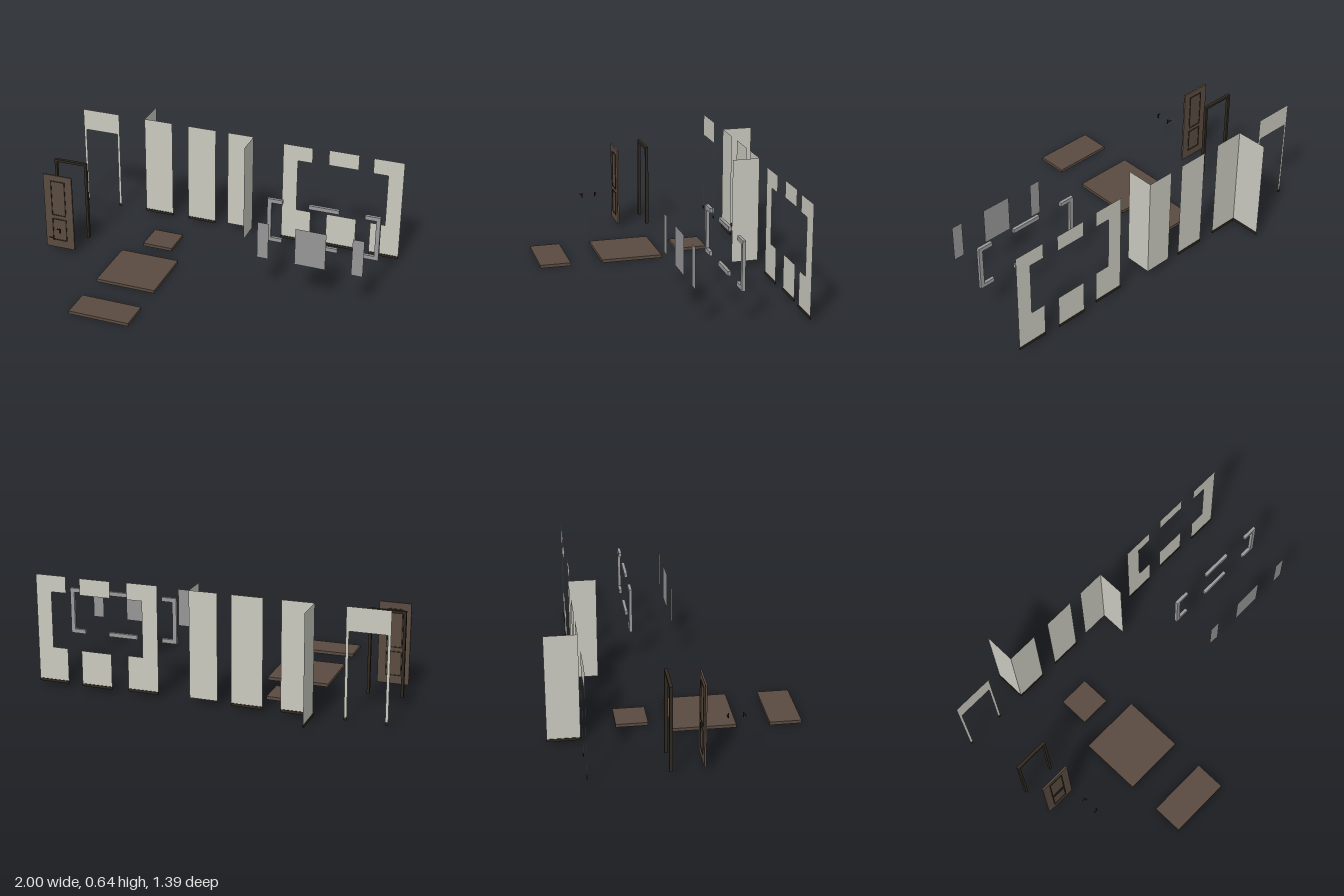
import * as THREE from 'three';

const make = (name, color, side = THREE.FrontSide) => {
  const m = new THREE.MeshStandardMaterial({ color, side });
  m.name = name;
  return m;
};

export function createModel() {
  const model = new THREE.Group();
  model.name = 'buildingKit';
  const wallPaint = make('wall plaster', 0xcacac0, THREE.DoubleSide);
  const wood = make('brown wood', 0x5a4b40);
  const trim = make('dark trim', 0x2f281f);
  const frameGrey = make('window frame grey', 0x9a9a9c);
  const glass = make('glass grey', 0x969698, THREE.DoubleSide);
  const metal = make('handle metal', 0x262321);

  const group = (name, parent = model) => {
    const g = new THREE.Group();
    g.name = name;
    parent.add(g);
    return g;
  };
  // Box given by its lower and upper limits on each axis
  const box = (parent, name, mat, x0, x1, y0, y1, z0, z1) => {
    const m = new THREE.Mesh(new THREE.BoxGeometry(x1 - x0, y1 - y0, z1 - z0), mat);
    m.name = name;
    m.position.set((x0 + x1) / 2, (y0 + y1) / 2, (z0 + z1) / 2);
    parent.add(m);
  };
  // Flat upright sheet facing z, outlined by [x, y] points
  const sheet = (parent, name, mat, z, points) => {
    const shape = new THREE.Shape(points.map(([x, y]) => new THREE.Vector2(x, y)));
    const m = new THREE.Mesh(new THREE.ShapeGeometry(shape), mat);
    m.name = name;
    m.position.z = z;
    parent.add(m);
  };
  const rect = (x0, x1, y0, y1) => [[x0, y0], [x1, y0], [x1, y1], [x0, y1]];
  // Upright sheet facing x
  const sideSheet = (parent, name, x, z0, z1) => {
    const m = new THREE.Mesh(new THREE.PlaneGeometry(z1 - z0, TOP - LOW), wallPaint);
    m.name = name;
    m.rotation.y = Math.PI / 2;
    m.position.set(x, (TOP + LOW) / 2, (z0 + z1) / 2);
    parent.add(m);
  };

  const TOP = 0.64, LOW = 0.036, BASE = 0.021, BACK = -0.514;
  const skirting = (parent, x0, x1, z) =>
    box(parent, 'skirting', trim, x0, x1, BASE, LOW, z - 0.003, z + 0.003);

  // Floor slabs
  [[-0.455, -0.275, -0.313, -0.135], [-0.541, -0.187, -0.018, 0.336], [-0.541, -0.187, 0.52, 0.697]]
    .forEach(([x0, x1, z0, z1]) => box(model, 'floorSlab', wood, x0, x1, 0, 0.018, z0, z1));

  // Wall with doorway
  const doorWall = group('doorwayWall');
  sheet(doorWall, 'wall', wallPaint, BACK, [
    [-1, LOW], [-0.984, LOW], [-0.984, 0.508], [-0.78, 0.508],
    [-0.78, LOW], [-0.764, LOW], [-0.764, TOP], [-1, TOP]]);
  skirting(doorWall, -1, -0.984, BACK);
  skirting(doorWall, -0.78, -0.764, BACK);

  // Inner corner wall
  const inner = group('innerCornerWall');
  sheet(inner, 'wall', wallPaint, BACK, rect(-0.597, -0.419, LOW, TOP));
  sideSheet(inner, 'sideWall', -0.597, -0.694, BACK);
  skirting(inner, -0.597, -0.419, BACK);
  box(inner, 'sideSkirting', trim, -0.6, -0.594, BASE, LOW, -0.694, BACK);

  // Straight wall
  const straight = group('straightWall');
  sheet(straight, 'wall', wallPaint, BACK, rect(-0.319, -0.142, LOW, TOP));
  skirting(straight, -0.319, -0.142, BACK);

  // Outer corner wall
  const outer = group('outerCornerWall');
  sheet(outer, 'wall', wallPaint, BACK, rect(-0.065, 0.094, LOW, TOP));
  sideSheet(outer, 'sideWall', 0.094, BACK, -0.357);

  // Window walls: two mirrored ends and a middle piece
  const CX = 0.642, WZ = -0.492, sill = 0.226, head = 0.545;
  [-1, 1].forEach((s) => {
    const g = group(s < 0 ? 'windowWallRight' : 'windowWallLeft');
    const near = CX + s * 0.18, mid = CX + s * 0.268, far = CX + s * 0.358;
    sheet(g, 'wall', wallPaint, WZ, [
      [near, LOW], [far, LOW], [far, TOP], [near, TOP],
      [near, head], [mid, head], [mid, sill], [near, sill]]);
    skirting(g, Math.min(near, far), Math.max(near, far), WZ);
  });
  const middle = group('windowWallMiddle');
  sheet(middle, 'lowerWall', wallPaint, -0.501, rect(0.556, 0.735, LOW, sill));
  sheet(middle, 'upperWall', wallPaint, -0.501, rect(0.556, 0.735, head, TOP));
  skirting(middle, 0.556, 0.735, -0.501);

  // Window frames and separate panes
  const y0 = 0.198, y1 = 0.467, bar = 0.024, z0 = -0.149, z1 = -0.131, paneZ = 0.107;
  const rails = (g, x0, x1) => {
    box(g, 'bottomRail', frameGrey, x0, x1, y0, y0 + bar, z0, z1);
    box(g, 'topRail', frameGrey, x0, x1, y1 - bar, y1, z0, z1);
    return g;
  };
  const pane = (x0, x1) => sheet(model, 'windowPane', glass, paneZ, rect(x0, x1, y0 + bar, y1 - bar));
  const endFrame = (x0, x1, stileX, name) => {
    const g = rails(group(name), x0, x1);
    box(g, 'stile', frameGrey, stileX, stileX + bar, y0 + bar, y1 - bar, z0, z1);
  };
  endFrame(0.313, 0.402, 0.313, 'windowFrameRight');
  rails(group('windowFrameMiddle'), 0.555, 0.73);
  endFrame(0.877, 0.966, 0.942, 'windowFrameLeft');
  pane(0.337, 0.402);
  pane(0.555, 0.73);
  pane(0.877, 0.942);

  // Door frame
  const frame = group('doorFrame');
  box(frame, 'post', trim, -0.984, -0.969, 0.02, 0.493, -0.093, -0.075);
  box(frame, 'post', trim, -0.795, -0.78, 0.02, 0.493, -0.093, -0.075);
  box(frame, 'lintel', trim, -0.984, -0.78, 0.493, 0.508, -0.093, -0.075);

  // Door leaf with moulded panels on both faces
  const door = group('door');
  box(door, 'leaf', wood, -0.972, -0.793, 0.026, 0.497, 0.09, 0.1);
  [[0.073, 0.216], [0.237, 0.462]].forEach(([a, b]) => {
    const l = -0.928, r = -0.837, w = 0.006, f = 0.087, k = 0.103;
    box(door, 'moulding', trim, l, l + w, a, b, f, k);
    box(door, 'moulding', trim, r - w, r, a, b, f, k);
    box(door, 'moulding', trim, l + w, r - w, a, a + w, f, k);
    box(door, 'moulding', trim, l + w, r - w, b - w, b, f, k);
  });

  // Door handles, one for each face
  [[0.32, 1], [0.241, -1]].forEach(([z, s]) => {
    const g = group('doorHandle');
    g.position.z = z;
    g.scale.z = s;
    box(g, 'plate', metal, -0.812, -0.803, 0.212, 0.24, -0.002, 0.002);
    box(g, 'spindle', metal, -0.81, -0.805, 0.227, 0.232, 0.002, 0.008);
    box(g, 'lever', metal, -0.831, -0.805, 0.227, 0.232, 0.006, 0.01);
  });

  return model;
}
